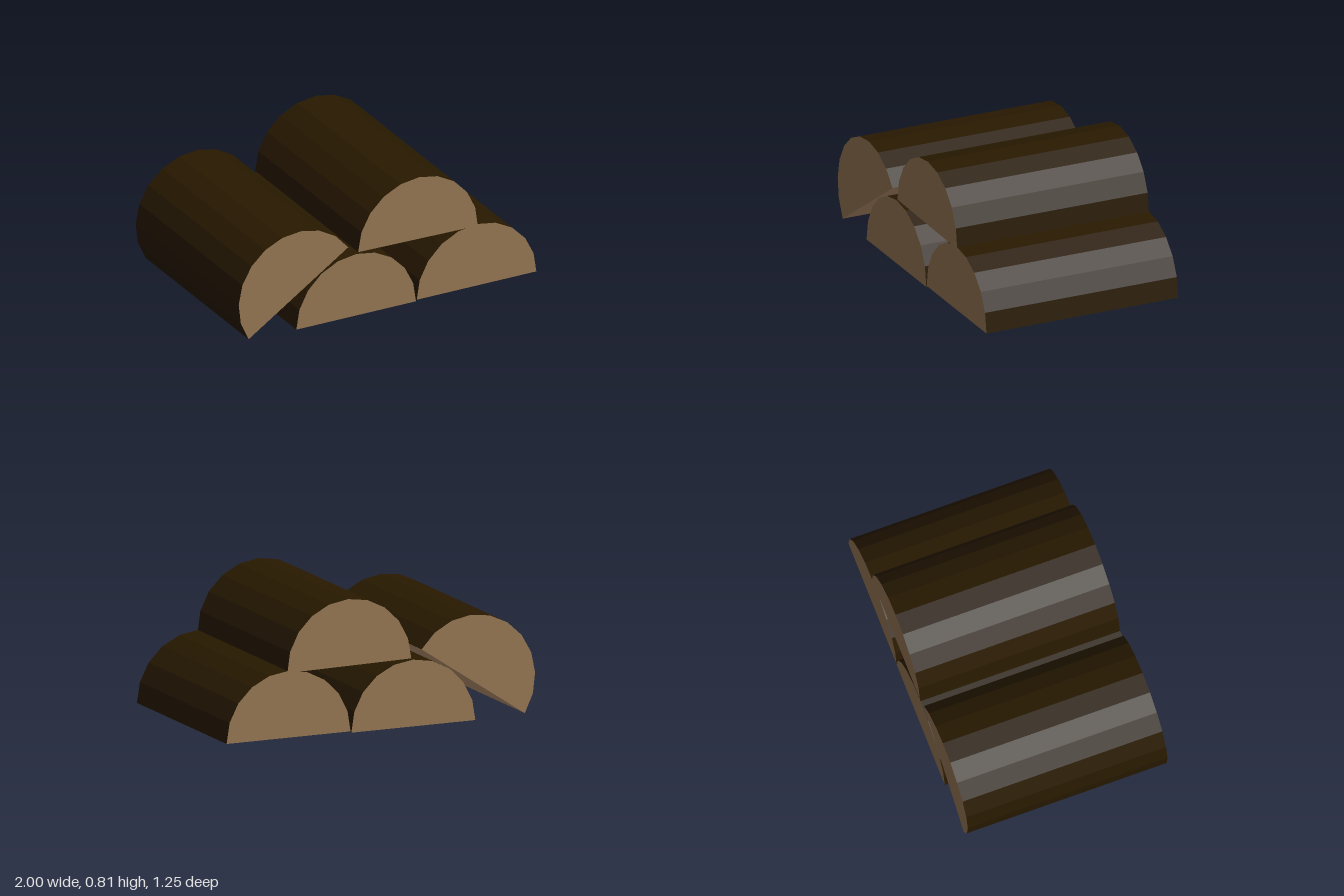
import * as THREE from 'three';

const RADIUS = 0.402;
const DEPTH = 1.255;
const SIDES = 10;

const material = (name, color) => {
  const m = new THREE.MeshStandardMaterial({ color });
  m.name = name;
  return m;
};

// Gives every facet its own normal
const faceted = (geometry) => {
  const g = geometry.toNonIndexed();
  g.computeVertexNormals();
  return g;
};

export function createModel() {
  const bark = material('dark bark', 0x281900);
  const endGrain = material('end grain', 0x927451);
  const splitWood = material('split wood', 0xc29873);

  // Half cylinder lying along z, with its split face down
  const barkShape = faceted(
    new THREE.CylinderGeometry(RADIUS, RADIUS, DEPTH, SIDES, 1, true, Math.PI / 2, Math.PI).rotateX(Math.PI / 2)
  );
  const frontShape = new THREE.CircleGeometry(RADIUS, SIDES, 0, Math.PI).translate(0, 0, DEPTH / 2);
  const backShape = frontShape.clone().rotateY(Math.PI);
  const splitShape = new THREE.PlaneGeometry(RADIUS * 2, DEPTH).rotateX(Math.PI / 2);

  const parts = [
    ['bark', barkShape, bark],
    ['frontEnd', frontShape, endGrain],
    ['backEnd', backShape, endGrain],
    ['splitFace', splitShape, splitWood],
  ];

  // Name, x, y, tilt in degrees
  const logs = [
    ['bottomRightLog', -0.212, 0.003, -0.2],
    ['bottomLeftLog', 0.597, 0.009, -0.2],
    ['topLog', 0.203, 0.406, -1.1],
    ['leaningLog', -0.6, 0.239, 33.6],
  ];

  const model = new THREE.Group();
  model.name = 'firewoodStack';
  for (const [name, x, y, tilt] of logs) {
    const log = new THREE.Group();
    log.name = name;
    for (const [partName, geometry, mat] of parts) {
      const mesh = new THREE.Mesh(geometry, mat);
      mesh.name = partName;
      log.add(mesh);
    }
    log.position.set(x, y, 0);
    log.rotation.z = THREE.MathUtils.degToRad(tilt);
    model.add(log);
  }
  return model;
}
